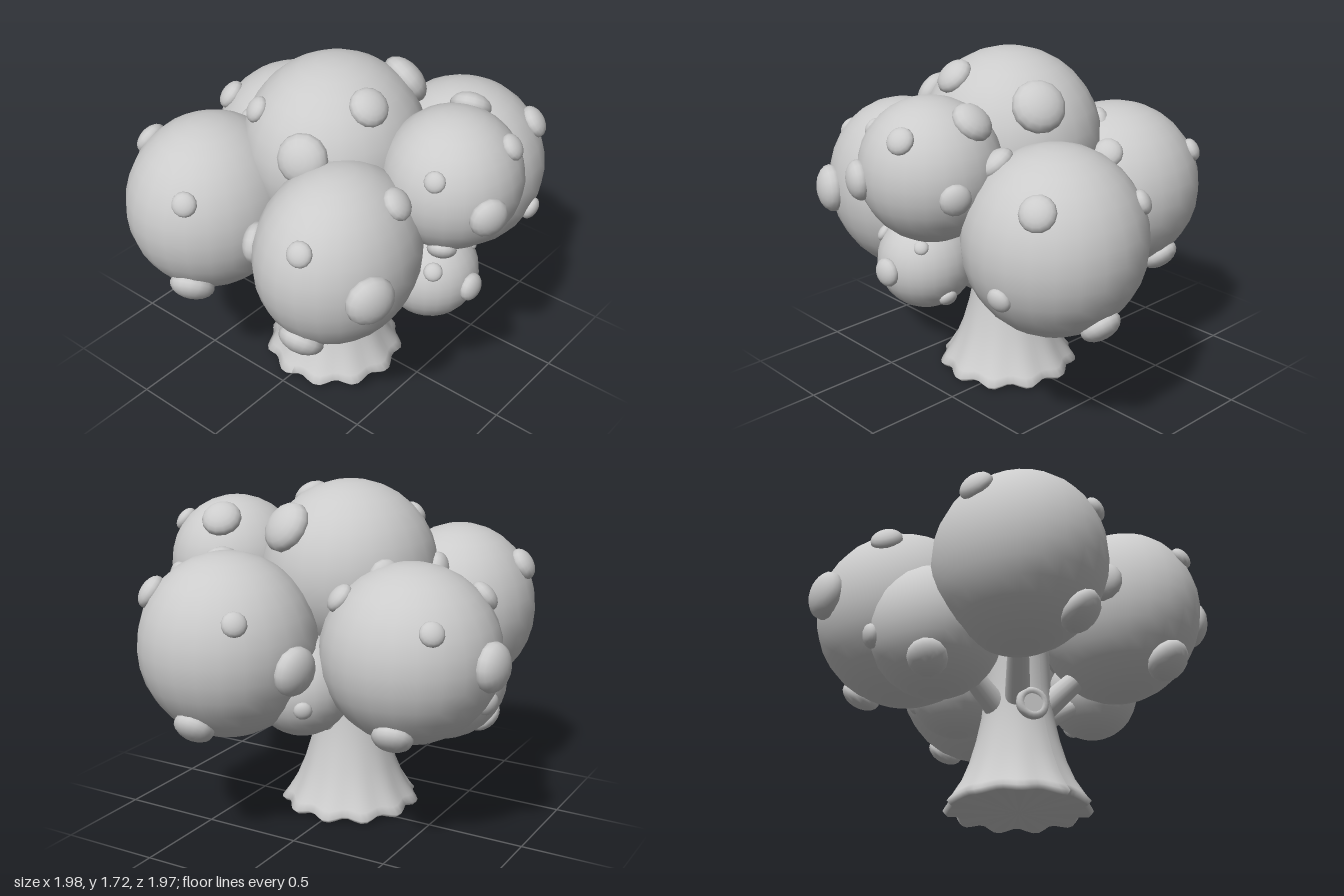
import * as THREE from 'three';

const material = new THREE.MeshStandardMaterial({ color: 0xcccccc });
const ball = new THREE.SphereGeometry(1, 24, 16);
const smallBall = new THREE.SphereGeometry(1, 14, 10);
const V = (a) => new THREE.Vector3(...a);

// Foliage: centre, radii, and bumps given as [offset direction x, y, z, radius]
const clumps = {
  topFoliage: [[0.01, 1.27, 0.08], [0.44, 0.45, 0.465], [
    [0.16, 0.17, 0.43, 0.12], [-0.2, 0.25, 0.32, 0.065], [-0.43, 0, 0.15, 0.1],
    [-0.35, 0.05, -0.28, 0.085], [0.15, 0.25, -0.35, 0.13], [0.3, 0.36, 0.1, 0.095]]],
  frontRightFoliage: [[-0.38, 1.02, 0.55], [0.4, 0.44, 0.43], [
    [0.17, 0.21, 0.33, 0.06], [0.11, -0.31, 0.27, 0.11], [-0.33, 0.25, 0.07, 0.085]]],
  frontLeftFoliage: [[0.365, 1.01, 0.48], [0.37, 0.44, 0.43], [
    [0.075, 0.21, 0.33, 0.06], [0.015, -0.32, 0.28, 0.11], [0.34, 0, 0.19, 0.12],
    [-0.33, 0.01, 0.2, 0.1], [0.22, 0.28, -0.1, 0.08]]],
  leftFoliage: [[0.62, 1.27, -0.035], [0.335, 0.34, 0.345], [
    [0.31, -0.02, 0.15, 0.095], [0.25, 0.21, -0.1, 0.065], [0.1, 0.15, 0.28, 0.05],
    [-0.07, 0.28, -0.24, 0.1], [0.13, -0.04, -0.33, 0.075], [0.1, -0.27, 0.2, 0.07]]],
  backLeftFoliage: [[0.325, 0.985, -0.55], [0.435, 0.45, 0.435], [
    [0.3, 0.26, -0.19, 0.085], [0.4, -0.15, -0.06, 0.06], [0, -0.32, -0.28, 0.1],
    [-0.25, 0.2, -0.3, 0.06], [-0.42, -0.05, -0.08, 0.12], [0.17, 0.35, 0.2, 0.09]]],
  backRightFoliage: [[-0.475, 0.965, -0.19], [0.44, 0.435, 0.435], [
    [-0.44, 0.01, -0.05, 0.12], [-0.25, 0.2, -0.3, 0.06], [-0.29, 0.28, 0.21, 0.08],
    [0.28, 0.28, -0.2, 0.075], [-0.05, -0.33, -0.28, 0.1]]],
  lowLeftFoliage: [[0.59, 0.78, 0.06], [0.235, 0.235, 0.235], [
    [1, 0, 0, 0.07], [0.6, 0.6, 0.75, 0.045], [0.6, 0.6, -0.6, 0.035], [0.1, -0.55, -0.75, 0.045]]],
  lowRightFoliage: [[-0.51, 0.785, 0.1], [0.32, 0.32, 0.32], [
    [-0.16, -0.23, 0.15, 0.095], [-0.8, -0.2, -0.3, 0.06]]],
  lowBackFoliage: [[0.02, 0.78, -0.37], [0.25, 0.25, 0.25], [[-0.5, -0.2, -0.8, 0.045]]],
};

function addMesh(parent, name, geometry) {
  const mesh = new THREE.Mesh(geometry, material);
  mesh.name = name;
  parent.add(mesh);
  return mesh;
}

function makeClump(name, [centre, radii, bumps]) {
  const group = new THREE.Group();
  group.name = name;
  group.position.set(...centre);
  addMesh(group, 'leafBall', ball).scale.set(...radii);
  // Flattened bumps lying on the surface of the ball
  for (const [x, y, z, r] of bumps) {
    const R = V(radii);
    const n = V([x, y, z]).divide(R).normalize();
    const bump = addMesh(group, 'leafBump', smallBall);
    bump.position.copy(n).multiply(R);
    bump.quaternion.setFromUnitVectors(new THREE.Vector3(0, 1, 0), n.divide(R).normalize());
    bump.scale.set(r, r * 0.62, r);
  }
  return group;
}

// Trunk turned from a profile, with flutes fading out above the roots
function makeTrunk() {
  const profile = [[0, 0.005], [0.33, 0.005], [0.35, 0.025], [0.325, 0.06], [0.28, 0.14],
    [0.24, 0.24], [0.205, 0.36], [0.18, 0.48], [0.165, 0.62], [0.16, 0.8], [0.16, 1.05], [0, 1.05]];
  const geometry = new THREE.LatheGeometry(profile.map(([r, y]) => new THREE.Vector2(r, y)), 66);
  const p = geometry.attributes.position;
  for (let i = 0; i < p.count; i++) {
    const x = p.getX(i), y = p.getY(i), z = p.getZ(i);
    const fade = Math.max(0, 1 - y / 0.4) ** 2;
    const wave = Math.cos(11 * Math.atan2(z, x));
    const k = 1 + 0.045 * fade * wave;
    const lift = Math.hypot(x, z) > 0.1 ? 0.01 * fade * (1 - wave) : 0;
    p.setXYZ(i, x * k, y + lift, z * k);
  }
  geometry.computeVertexNormals();
  return geometry;
}

// Tapered limb between two points
function addLimb(parent, name, from, to, r0, r1) {
  const a = V(from), b = V(to);
  const limb = addMesh(parent, name, new THREE.CylinderGeometry(r1, r0, a.distanceTo(b), 16));
  limb.position.copy(a).lerp(b, 0.5);
  limb.quaternion.setFromUnitVectors(new THREE.Vector3(0, 1, 0), b.sub(a).normalize());
  return limb;
}

export function createModel() {
  const tree = new THREE.Group();
  tree.name = 'tree';

  addMesh(tree, 'trunk', makeTrunk()).position.set(0.017, 0, 0.1);

  // Branches running from the trunk into the foliage
  const branches = [
    [[0.1, 0.47, 0.08], [0.55, 0.74, 0.06]],
    [[-0.07, 0.47, 0.1], [-0.45, 0.76, 0.1]],
    [[0.05, 0.45, 0.0], [0.18, 0.8, -0.4]],
    [[0.08, 0.5, 0.17], [0.34, 0.85, 0.45]],
    [[-0.05, 0.5, 0.17], [-0.34, 0.85, 0.5]],
  ];
  for (const [from, to] of branches) addLimb(tree, 'branch', from, to, 0.065, 0.04);

  // Cut stub with a rounded rim on the front of the trunk
  addLimb(tree, 'stub', [0, 0.48, 0.14], [-0.075, 0.485, 0.31], 0.08, 0.06);
  const rim = addMesh(tree, 'stubRim', new THREE.TorusGeometry(0.06, 0.022, 10, 20));
  rim.position.set(-0.068, 0.485, 0.295);
  rim.rotation.y = -0.42;

  for (const [name, clump] of Object.entries(clumps)) tree.add(makeClump(name, clump));
  return tree;
}
